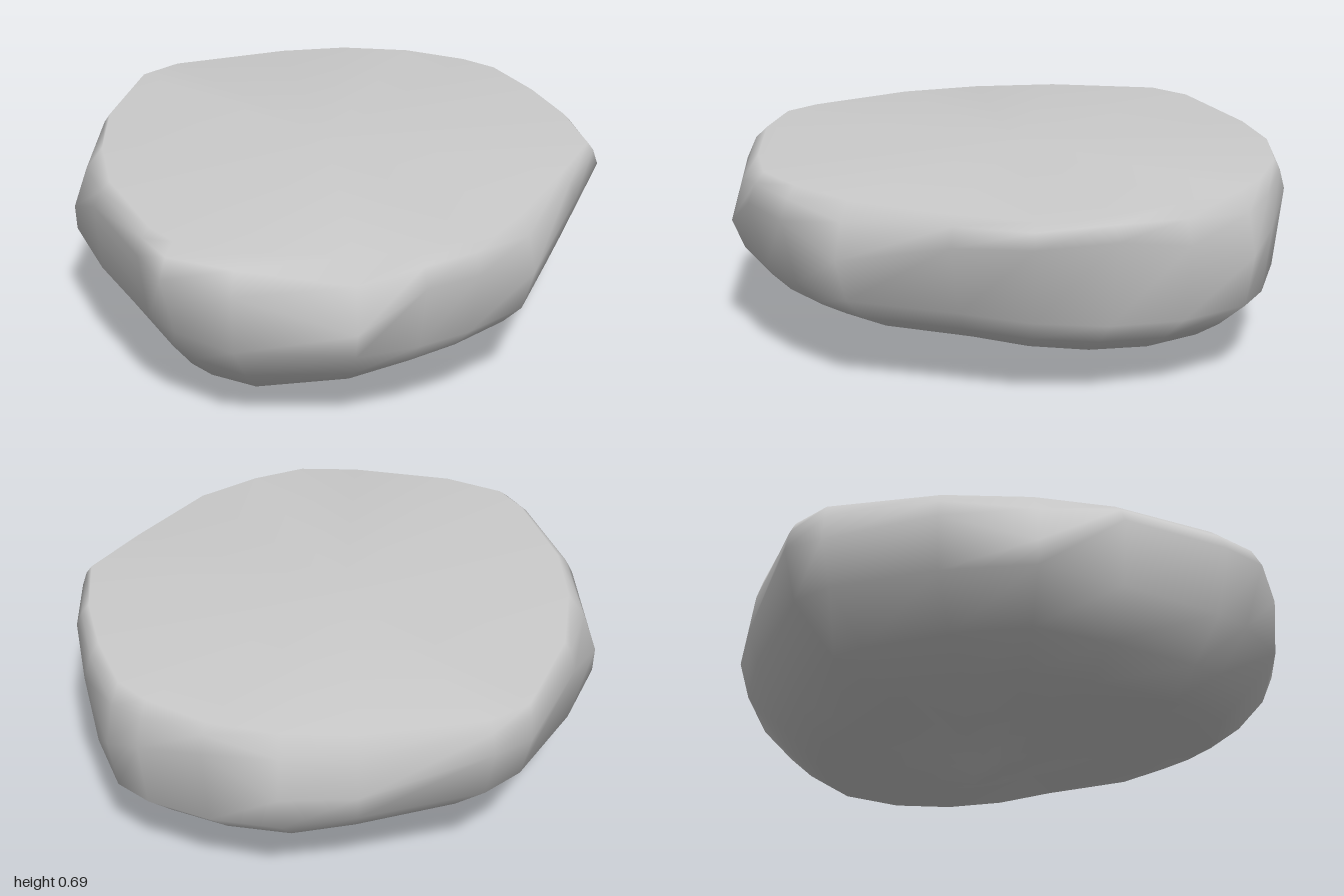
import * as THREE from 'three';

// Plan outline of the slab, clockwise seen from above, starting at the back:
// [x, z, height of the widest line, inset of the top edge, fullness below].
// Corners are chamfered deeper than the faces between them.
const OUTLINE = [
  [0, -1, 0.46, 0.94, 1], [0.26, -0.92, 0.55, 0.94, 1], [0.5, -0.8, 0.6, 0.95, 0.97], [0.72, -0.64, 0.6, 0.96, 0.92],
  [0.82, -0.38, 0.58, 0.95, 0.95], [0.95, 0, 0.49, 0.93, 1], [0.93, 0.26, 0.57, 0.94, 1], [0.88, 0.46, 0.58, 0.94, 1],
  [0.77, 0.66, 0.45, 0.9, 1.02], [0.45, 0.9, 0.56, 0.92, 1.06], [0.23, 1, 0.58, 0.92, 1], [0.08, 0.96, 0.6, 0.94, 1.03],
  [-0.3, 0.82, 0.6, 0.93, 1.05], [-0.58, 0.68, 0.46, 0.88, 1.06], [-0.76, 0.4, 0.58, 0.95, 1.04],
  [-0.94, 0.04, 0.55, 0.98, 1], [-0.95, -0.13, 0.57, 0.96, 1], [-0.75, -0.53, 0.46, 0.95, 1],
  [-0.6, -0.74, 0.46, 0.94, 1], [-0.38, -0.88, 0.58, 0.96, 1], [-0.15, -0.975, 0.52, 0.95, 1],
];

// Underside profiles toward each side, [fraction of the outline, height]
const FRONT = [[0.93, 0.36], [0.82, 0.2], [0.73, 0.09], [0.47, 0.11], [0.13, 0.02]];
const LEFT = [[0.95, 0.34], [0.87, 0.26], [0.75, 0.195], [0.42, 0.155], [0.06, 0.01]];
const BACK = [[0.97, 0.28], [0.87, 0.19], [0.78, 0.13], [0.6, 0.14], [0.12, 0]];
const RIGHT = [[0.95, 0.39], [0.77, 0.23], [0.5, 0.15], [0.21, 0.1], [0.06, 0.03]];

function rockGeometry() {
  const n = OUTLINE.length;
  const positions = [];
  const indices = [];
  const { lerp } = THREE.MathUtils;

  // Top edge, a soft bevel, then the widest line
  for (const [x, z, , inset] of OUTLINE) positions.push(x * inset, 0.682, z * inset);
  for (const [x, z, rim, inset] of OUTLINE) {
    const s = lerp(inset, 1, 0.55);
    positions.push(x * s, lerp(0.682, rim, 0.35), z * s);
  }
  for (const [x, z, rim] of OUTLINE) positions.push(x, rim, z);

  // Underside rings blend the profiles by the direction of each outline point
  for (let level = 0; level < FRONT.length; level++) {
    for (const [x, z, , , fullness] of OUTLINE) {
      const wx = (x * x) / (x * x + z * z);
      const a = (x > 0 ? LEFT : RIGHT)[level];
      const b = (z > 0 ? FRONT : BACK)[level];
      const s = lerp(b[0], a[0], wx) * fullness;
      positions.push(x * s, lerp(b[1], a[1], wx), z * s);
    }
  }
  const rings = FRONT.length + 3;
  const top = rings * n;
  const bottom = top + 1;
  positions.push(0, 0.688, 0, 0, 0.005, 0);

  for (let j = 0; j < n; j++) {
    const k = (j + 1) % n;
    indices.push(top, k, j);
    for (let r = 0; r < rings - 1; r++) {
      const a = r * n + j, b = r * n + k;
      indices.push(a, b, b + n, a, b + n, a + n);
    }
    const last = (rings - 1) * n;
    indices.push(bottom, last + j, last + k);
  }

  const geometry = new THREE.BufferGeometry();
  geometry.setAttribute('position', new THREE.Float32BufferAttribute(positions, 3));
  geometry.setIndex(indices);
  geometry.computeVertexNormals();
  return geometry;
}

export function createModel() {
  const group = new THREE.Group();
  group.name = 'flatToppedRock';
  const rock = new THREE.Mesh(rockGeometry(), new THREE.MeshStandardMaterial({ color: 0xcccccc }));
  rock.name = 'rockSlab';
  group.add(rock);
  return group;
}
